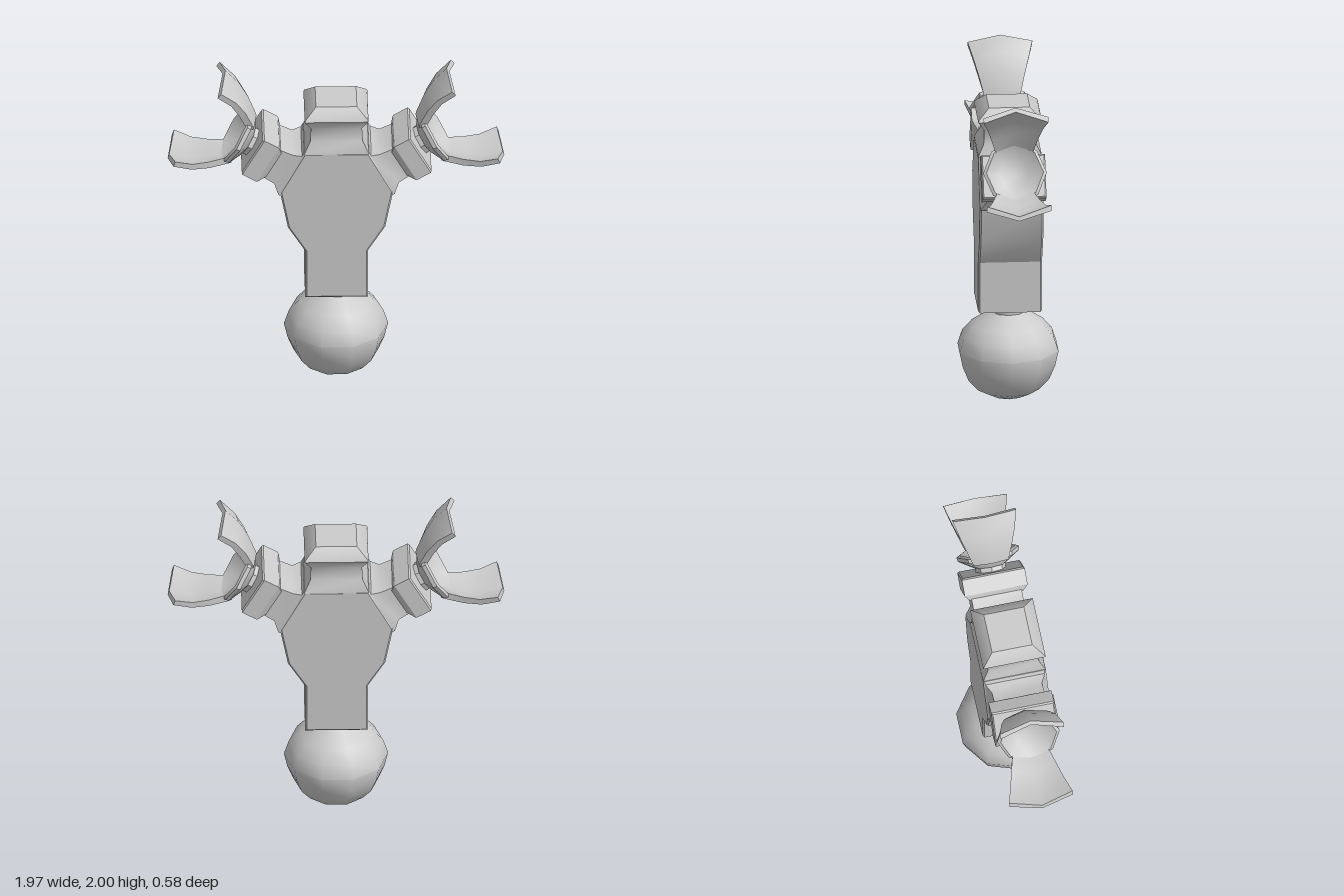
import * as THREE from 'three';
import { toCreasedNormals } from 'three/addons/utils/BufferGeometryUtils.js';

const material = new THREE.MeshStandardMaterial({ color: 0xcccccc });

function part(name, geometry, crease = 0.7) {
  const mesh = new THREE.Mesh(toCreasedNormals(geometry, crease), material);
  mesh.name = name;
  return mesh;
}

// Closed solid through rings of [x, y, z] points stacked along +x
function loft(rings) {
  const n = rings[0].length, last = (rings.length - 1) * n, index = [];
  for (let i = 0; i < rings.length - 1; i++) {
    for (let k = 0; k < n; k++) {
      const a = i * n + k, b = i * n + (k + 1) % n;
      index.push(a, b, b + n, a, b + n, a + n);
    }
  }
  for (let k = 2; k < n; k++) {
    const p = k, q = (k + 1) % n;
    index.push(last + 1, last + p, last + q, 1, q, p);
  }
  const geometry = new THREE.BufferGeometry();
  geometry.setAttribute('position', new THREE.Float32BufferAttribute(rings.flat(2), 3));
  geometry.setIndex(index);
  return geometry;
}

// Rectangular sections: [x, half height, half depth]
const boxLoft = (sections) => loft(sections.map(([x, h, d]) =>
  [[x, h, -d], [x, h, d], [x, -h, d], [x, -h, -d]]));

const lathe = (points, sides, start = 0) => new THREE.LatheGeometry(
  points.map(([r, y]) => new THREE.Vector2(r, y)), sides, start);

// Curved claw, ridged along its middle and widening to the tip
function clawGeometry() {
  const rows = [ // outer x, outer radius, inner x, inner radius, half width
    [0.12, 0.165, 0.15, 0.15, 0.105],
    [0.135, 0.18, 0.168, 0.16, 0.108],
    [0.226, 0.252, 0.245, 0.222, 0.135],
    [0.317, 0.305, 0.33, 0.277, 0.162],
    [0.43, 0.338, 0.435, 0.312, 0.19],
  ];
  return loft(rows.map(([xo, ro, xi, ri, w]) => {
    const eo = Math.sqrt(ro * ro - w * w), ei = Math.sqrt(ri * ri - w * w);
    return [[xo, eo, -w], [xo, ro, 0], [xo, eo, w], [xi, ei, w], [xi, ri, 0], [xi, ei, -w]];
  }));
}

// Arm built along +x, then tilted upward
function createArm() {
  const arm = new THREE.Group();
  arm.add(part('shoulder', boxLoft([
    [-0.3, 0.14, 0.18], [-0.205, 0.148, 0.183], [-0.155, 0.11, 0.15], [-0.04, 0.1, 0.15],
  ])));
  arm.add(part('wristBlock', boxLoft([
    [-0.088, 0.09, 0.155], [-0.055, 0.125, 0.183], [-0.047, 0.13, 0.188],
    [0.05, 0.13, 0.188], [0.058, 0.122, 0.18],
  ]), 0.4));
  const pin = new THREE.CylinderGeometry(0.09, 0.09, 0.06, 8).rotateZ(-Math.PI / 2).translate(0.07, 0, 0);
  arm.add(part('wristPin', pin));
  const cup = lathe([
    [0, 0.087], [0.1, 0.087], [0.182, 0.14], [0.187, 0.165], [0.168, 0.175], [0.088, 0.112], [0, 0.112],
  ], 8).rotateZ(-Math.PI / 2);
  arm.add(part('cup', cup, 0.75));
  for (const [name, turn] of [['upperClaw', 0], ['lowerClaw', Math.PI]]) {
    const claw = part(name, clawGeometry());
    claw.rotation.x = turn;
    arm.add(claw);
  }
  arm.position.set(0.444, 1.492, 0);
  arm.rotation.z = Math.PI / 6;
  return arm;
}

export function createModel() {
  const model = new THREE.Group();
  model.name = 'clawTotem';

  // Ten-sided ball with a short stem
  model.add(part('ball', lathe([
    [0, 0], [0.1, 0], [0.19, 0.045], [0.25, 0.115], [0.285, 0.2], [0.305, 0.29], [0.277, 0.375],
    [0.217, 0.445], [0.15, 0.49], [0.103, 0.52], [0.103, 0.59],
  ], 10, Math.PI / 2), 0.75));

  // Slab body with a thin bevel
  const half = [[0.184, 0.567], [0.184, 0.88], [0.285, 1.04], [0.332, 1.28], [0.19, 1.54]];
  const outline = [...half, ...half.map(([x, y]) => [-x, y]).reverse()];
  const bevel = 0.01;
  const body = new THREE.ExtrudeGeometry(new THREE.Shape(outline.map(([x, y]) => new THREE.Vector2(x, y))), {
    depth: 0.355, bevelEnabled: true, bevelThickness: bevel, bevelSize: bevel, bevelOffset: -bevel, bevelSegments: 1,
  }).translate(0, 0, -0.1775);
  model.add(part('body', body, 0.4));

  // Square neck flaring into a tapered head
  model.add(part('neckAndHead', boxLoft([
    [1.5, 0.187, 0.186], [1.54, 0.187, 0.186], [1.605, 0.153, 0.153], [1.69, 0.15, 0.15],
    [1.75, 0.187, 0.187], [1.76, 0.183, 0.183], [1.817, 0.12, 0.12],
  ]).rotateZ(Math.PI / 2)));

  // Matching arms on both sides
  for (const [name, turn] of [['leftArm', 0], ['rightArm', Math.PI]]) {
    const side = new THREE.Group();
    side.name = name;
    side.rotation.y = turn;
    side.add(createArm());
    model.add(side);
  }
  return model;
}
